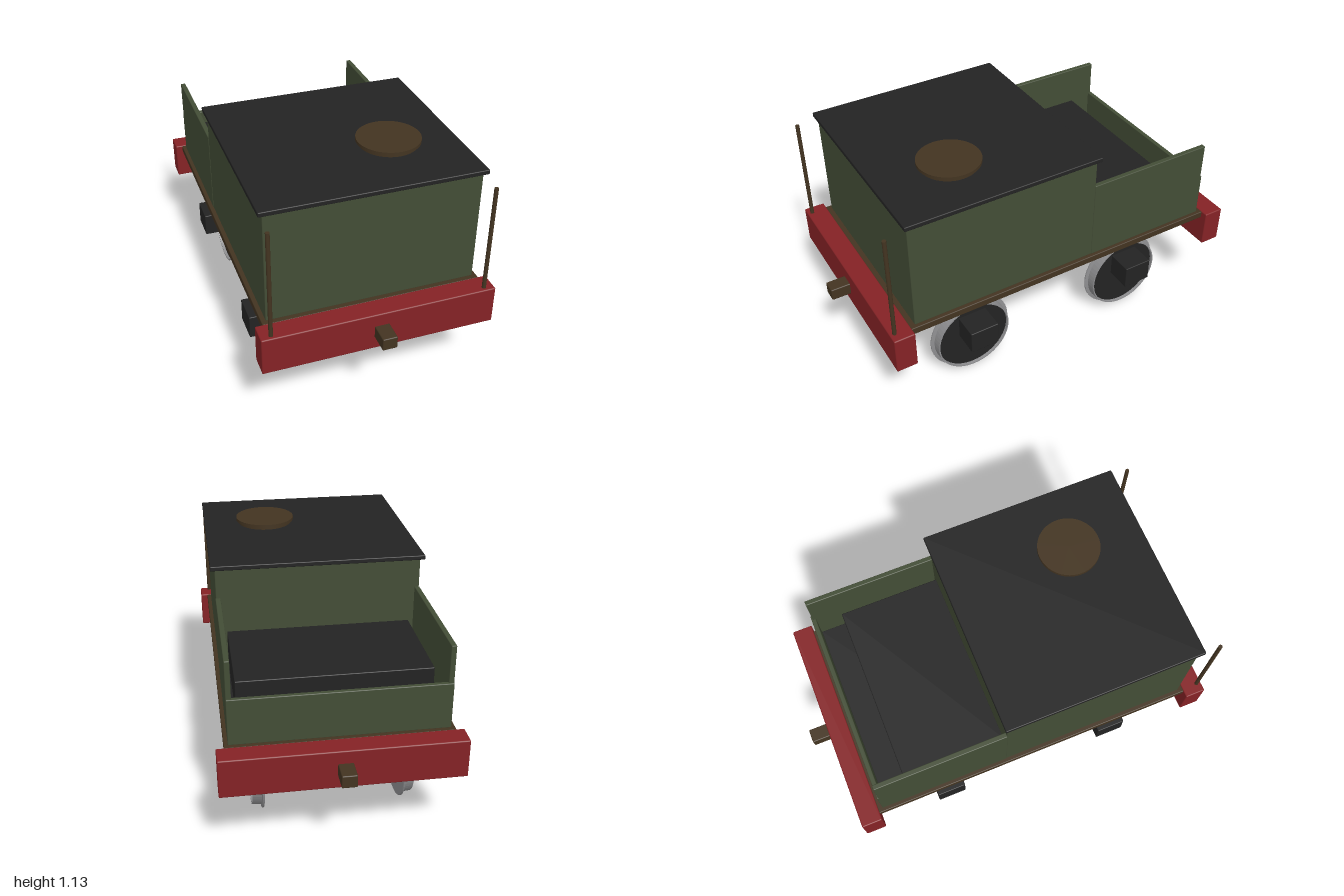
import * as THREE from 'three';
import { RoundedBoxGeometry } from 'three/addons/geometries/RoundedBoxGeometry.js';

function material(name, color) {
  const m = new THREE.MeshStandardMaterial({ color });
  m.name = name;
  return m;
}

export function createModel() {
  const green = material('green paint', 0x434d36);
  const black = material('black', 0x232323);
  const red = material('red', 0x842225);
  const brown = material('dark brown', 0x433421);
  const steel = material('steel grey', 0x8e8e90);

  const model = new THREE.Group();
  model.name = 'tenderWagon';

  function add(name, geometry, mat, parent = model) {
    const mesh = new THREE.Mesh(geometry, mat);
    mesh.name = name;
    parent.add(mesh);
    return mesh;
  }

  // Box given by its limits on each axis, with slightly softened edges
  function box(name, mat, [x0, x1], [y0, y1], [z0, z1], radius = 0.004) {
    const geo = new RoundedBoxGeometry(x1 - x0, y1 - y0, z1 - z0, 2, radius);
    geo.translate((x0 + x1) / 2, (y0 + y1) / 2, (z0 + z1) / 2);
    return add(name, geo, mat);
  }

  // Running board and tank
  box('runningBoard', brown, [-0.505, 0.505], [0.515, 0.55], [-0.81, 0.81]);
  box('tank', green, [-0.485, 0.485], [0.548, 1.087], [-0.145, 0.785]);
  box('tankRoof', black, [-0.505, 0.505], [1.085, 1.107], [-0.16, 0.8]);

  // Filler hatch, off centre on the roof
  const hatchNeck = add('hatchNeck', new THREE.CylinderGeometry(0.135, 0.135, 0.016, 48), brown);
  hatchNeck.position.set(0.195, 1.113, 0.44);
  const hatchLid = add('hatchLid', new THREE.CylinderGeometry(0.146, 0.146, 0.015, 48), brown);
  hatchLid.position.set(0.195, 1.1275, 0.44);

  // Open bunker behind the tank
  for (const s of [-1, 1]) {
    box('bunkerSide', green, s > 0 ? [0.463, 0.487] : [-0.487, -0.463], [0.548, 0.945], [-0.78, -0.143]);
  }
  box('bunkerRear', green, [-0.487, 0.487], [0.548, 0.768], [-0.787, -0.765]);
  box('bunkerFloor', black, [-0.465, 0.465], [0.549, 0.6], [-0.767, -0.143]);
  box('bunkerLoad', black, [-0.44, 0.44], [0.58, 0.77], [-0.64, -0.143]);

  // Underframe rails
  for (const s of [-1, 1]) {
    box('frameRail', black, [s * 0.272 - 0.028, s * 0.272 + 0.028], [0.315, 0.517], [-0.83, 0.83]);
  }

  // End beams with couplers
  for (const s of [-1, 1]) {
    const span = (a, b) => (s > 0 ? [a, b] : [-b, -a]);
    box('endBeam', red, [-0.54, 0.54], [0.368, 0.552], span(0.808, 0.908), 0.006);
    box('coupler', brown, [-0.034, 0.034], [0.43, 0.49], span(0.9, 1.0), 0.005);
  }

  // Upright posts on the front beam
  for (const s of [-1, 1]) {
    const post = add('frontPost', new THREE.CylinderGeometry(0.0095, 0.0095, 0.53, 16), brown);
    post.position.set(s * 0.492, 0.805, 0.885);
  }

  // Wheel rim profile: radius and distance outward, inner flange first
  const rimProfile = [
    [0, 0], [0.207, 0], [0.21, 0.003], [0.21, 0.009], [0.193, 0.012],
    [0.19, 0.055], [0.184, 0.055], [0.184, 0.035],
  ].map(([r, h]) => new THREE.Vector2(r, h));
  const rimGeo = new THREE.LatheGeometry(rimProfile, 56).toNonIndexed();
  rimGeo.computeVertexNormals();
  const rimMat = steel;
  rimMat.side = THREE.DoubleSide;

  for (const z of [-0.442, 0.442]) {
    // Cross beam carrying the axle bearings
    box('axleBeam', black, [-0.49, 0.49], [0.23, 0.347], [z - 0.072, z + 0.072]);
    for (const s of [-1, 1]) {
      const wheel = new THREE.Group();
      wheel.name = 'wheel';
      wheel.position.set(s * 0.325, 0.21, z);
      wheel.rotation.z = -s * Math.PI / 2;
      add('wheelRim', rimGeo, rimMat, wheel);
      const disc = add('wheelDisc', new THREE.CylinderGeometry(0.184, 0.184, 0.03, 56), black, wheel);
      disc.position.y = 0.025;
      const hub = add('wheelHub', new THREE.CylinderGeometry(0.04, 0.04, 0.07, 24), black, wheel);
      hub.position.y = 0.028;
      model.add(wheel);
    }
  }

  return model;
}
